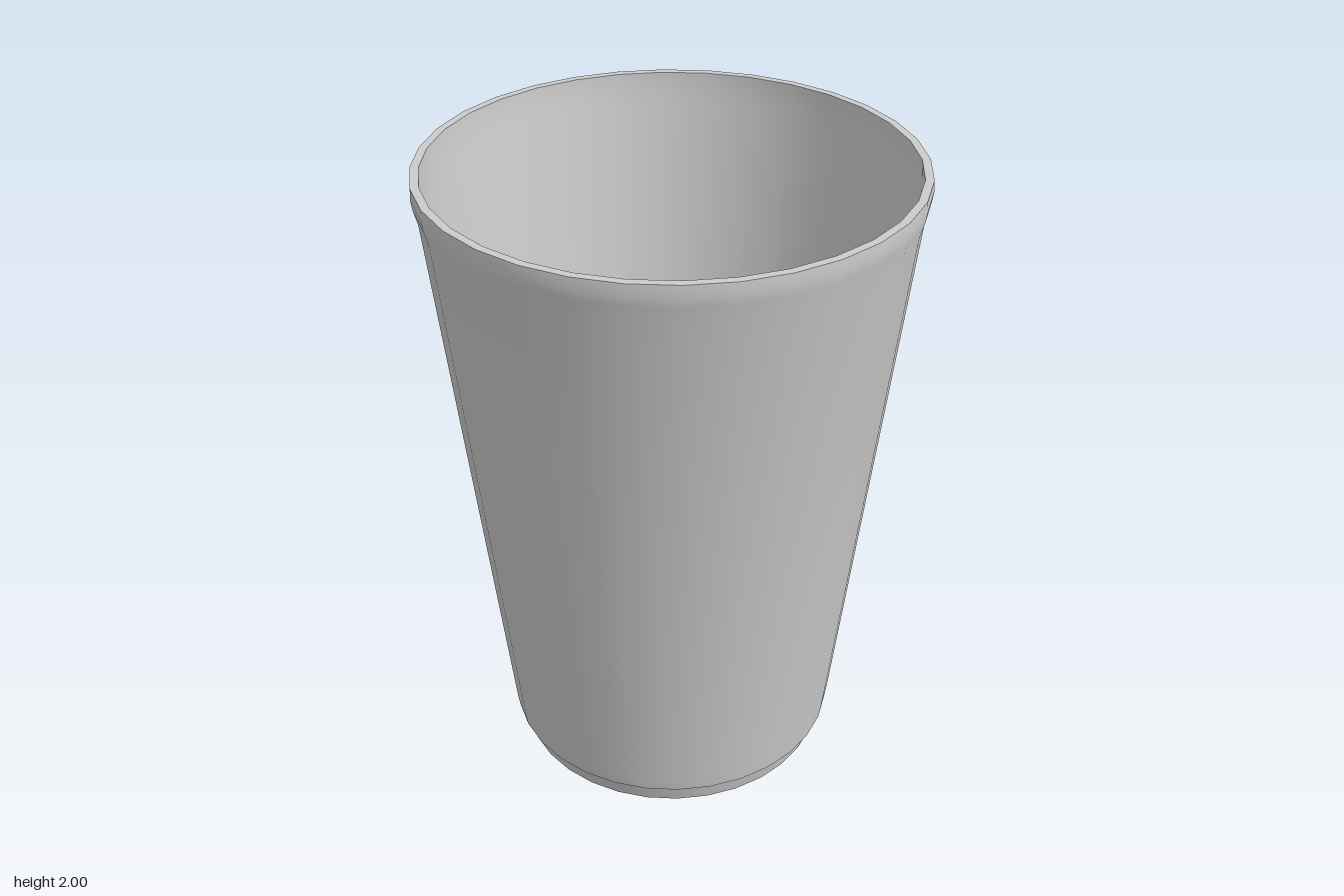
import * as THREE from 'three';
import { toCreasedNormals } from 'three/addons/utils/BufferGeometryUtils.js';

const SIDES = 32;
const material = new THREE.MeshStandardMaterial({ color: 0xcccccc });

// Spin a [radius, height] profile around the y axis
function turned(name, profile) {
  const points = profile.map(([r, y]) => new THREE.Vector2(r, y));
  const geometry = toCreasedNormals(new THREE.LatheGeometry(points, SIDES), 0.6);
  const mesh = new THREE.Mesh(geometry, material);
  mesh.name = name;
  return mesh;
}

export function createModel() {
  const group = new THREE.Group();
  group.name = 'cup';

  group.add(turned('cupBody', [
    // recessed underside and foot
    [0, 0.035], [0.46, 0.035], [0.485, 0], [0.5, 0], [0.517, 0.07],
    // stepped lower edge and tapering outer wall
    [0.53, 0.07], [0.537, 0.12], [0.726, 1.89],
    // rolled rim
    [0.738, 1.935], [0.742, 1.965], [0.74, 2], [0.715, 2],
    // inner wall with a small ledge, then the floor
    [0.712, 1.94], [0.703, 1.89], [0.51, 0.1], [0.5, 0.095],
    [0.482, 0.055], [0.472, 0.05], [0, 0.05],
  ]));

  return group;
}
